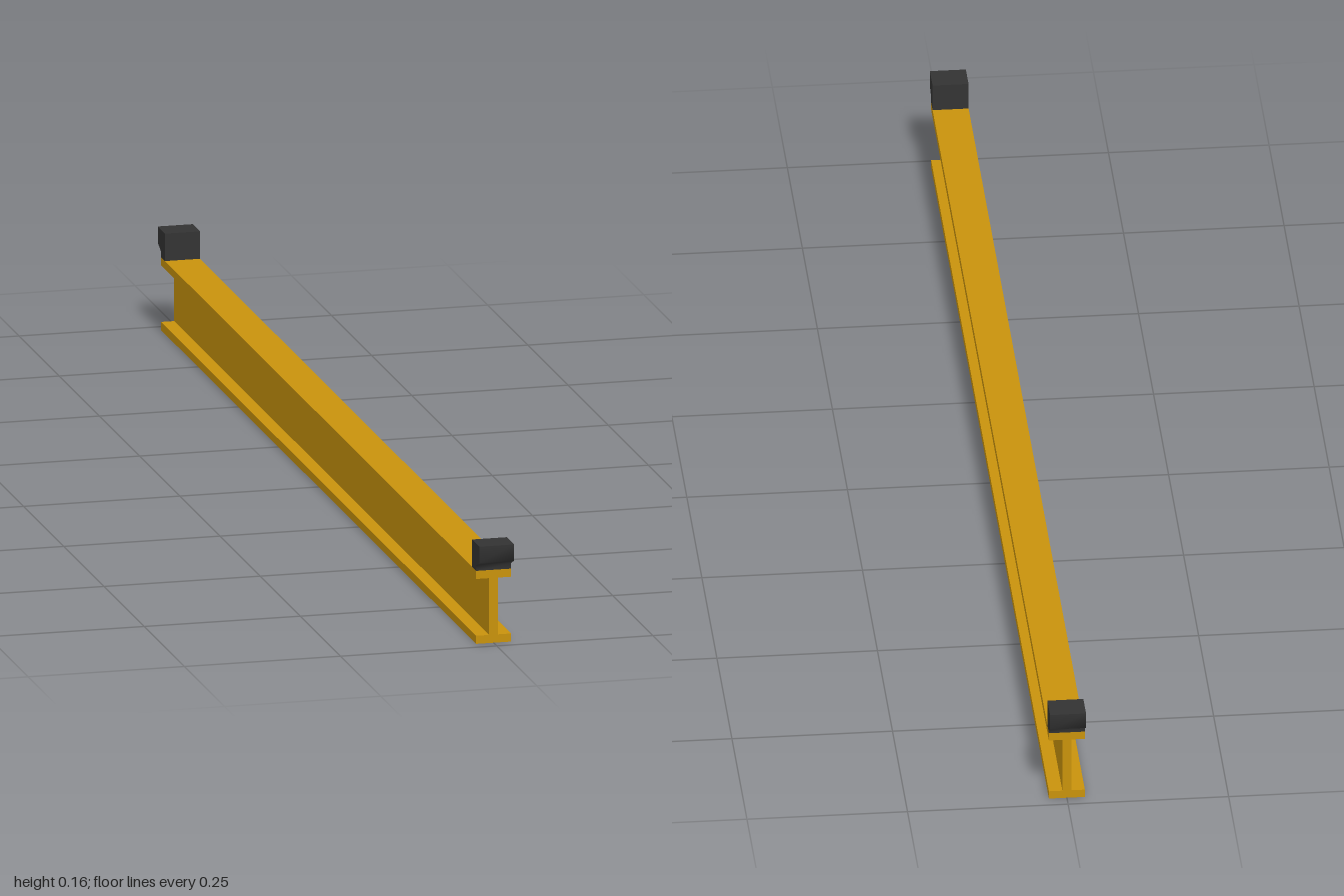
import * as THREE from 'three';
import { toCreasedNormals } from 'three/addons/utils/BufferGeometryUtils.js';

// Extrude a closed profile along z, centred on z = 0
function extrude(points, depth) {
  const shape = new THREE.Shape(points.map(([x, y]) => new THREE.Vector2(x, y)));
  const geometry = new THREE.ExtrudeGeometry(shape, { depth, bevelEnabled: false });
  return geometry.translate(0, 0, -depth / 2);
}

export function createModel() {
  const group = new THREE.Group();
  group.name = 'beamWithEndStops';

  const yellow = new THREE.MeshStandardMaterial({ color: 0xc8920c });
  const black = new THREE.MeshStandardMaterial({ color: 0x333333 });

  const halfWidth = 0.028, halfWeb = 0.007;
  const height = 0.117, flange = 0.013, length = 1.96;

  // I-beam: right half of the section, mirrored for the left
  const half = [
    [halfWidth, 0], [halfWidth, flange], [halfWeb, flange],
    [halfWeb, height - flange], [halfWidth, height - flange], [halfWidth, height],
  ];
  const section = [...half, ...half.map(([x, y]) => [-x, y]).reverse()];
  const beam = new THREE.Mesh(extrude(section, length), yellow);
  beam.name = 'beam';
  group.add(beam);

  // End stops: rubber blocks with a lip overhanging the beam end
  const stopProfile = [
    [0.955, height], [0.98, height], [0.98, 0.126],
    [1.0, 0.135], [1.0, 0.161], [0.955, 0.161],
  ];
  const stopGeometry = toCreasedNormals(extrude(stopProfile, 2 * halfWidth), 1.2);
  stopGeometry.rotateY(-Math.PI / 2); // profile x becomes z
  for (const [name, angle] of [['frontStop', 0], ['backStop', Math.PI]]) {
    const stop = new THREE.Mesh(stopGeometry, black);
    stop.name = name;
    stop.rotation.y = angle;
    group.add(stop);
  }

  return group;
}
